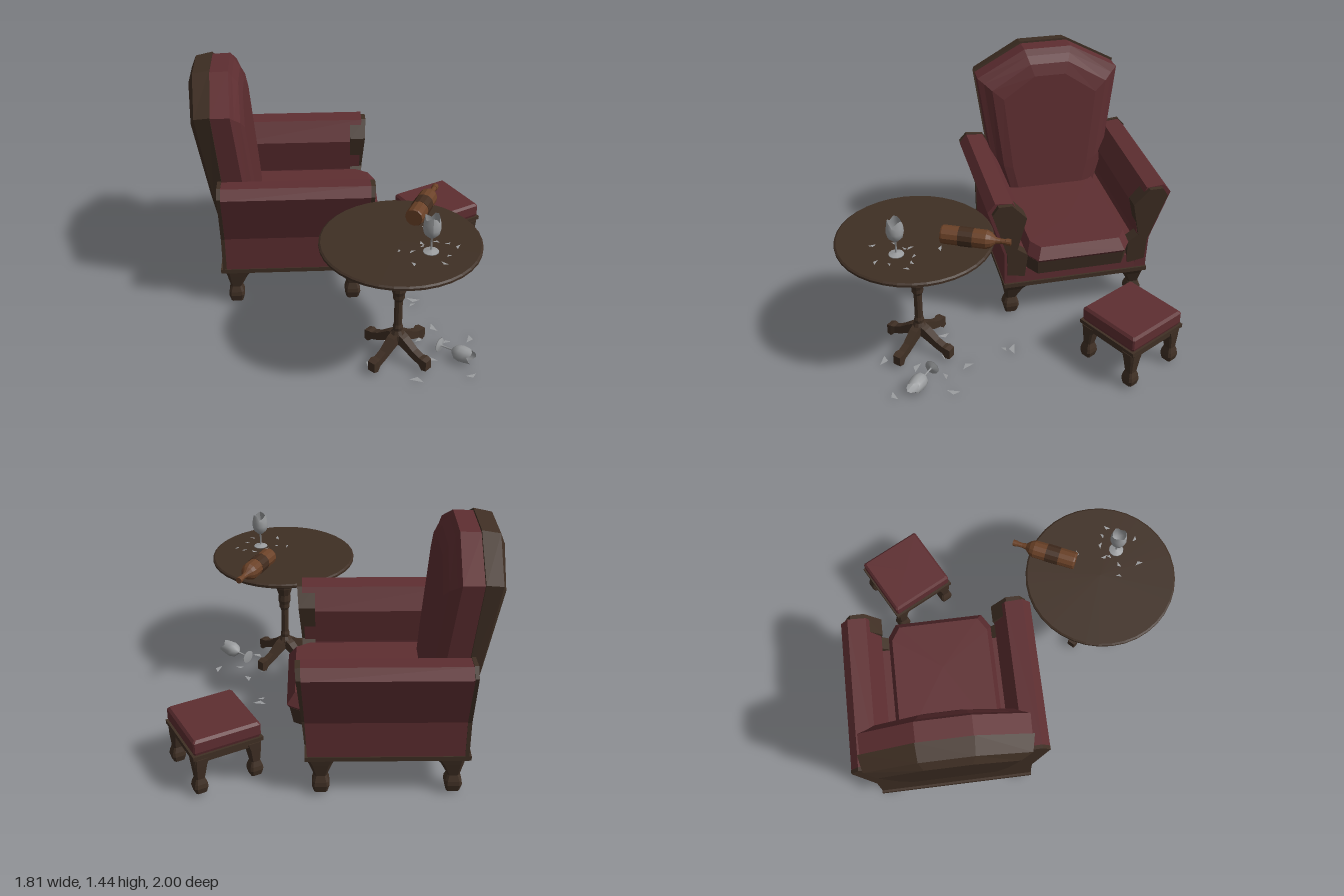
import * as THREE from 'three';

const mat = (name, color, side = THREE.FrontSide) => {
  const m = new THREE.MeshStandardMaterial({ color, side });
  m.name = name;
  return m;
};

// Flat facets: split vertices and recompute normals
const facet = (g) => {
  const f = g.index ? g.toNonIndexed() : g;
  f.computeVertexNormals();
  return f;
};

// Solid through rings of [x, y, z] points, capped at both ends
function loft(rings) {
  const pos = [];
  const n = rings[0].length;
  const tri = (a, b, c) => pos.push([a, b, c]);
  for (let r = 0; r < rings.length - 1; r++)
    for (let i = 0; i < n; i++) {
      const j = (i + 1) % n, A = rings[r], B = rings[r + 1];
      tri(A[i], A[j], B[j]);
      tri(A[i], B[j], B[i]);
    }
  const cap = (ring, flip) => {
    const c = [0, 1, 2].map((k) => ring.reduce((s, p) => s + p[k], 0) / n);
    for (let i = 0; i < n; i++) {
      const a = ring[i], b = ring[(i + 1) % n];
      flip ? tri(c, b, a) : tri(c, a, b);
    }
  };
  cap(rings[0], true);
  cap(rings[rings.length - 1], false);
  // turn the faces outward if the rings ran the other way round
  let vol = 0;
  for (const [a, b, c] of pos)
    vol += a[0] * (b[1] * c[2] - b[2] * c[1]) - a[1] * (b[0] * c[2] - b[2] * c[0]) + a[2] * (b[0] * c[1] - b[1] * c[0]);
  const flat = pos.flatMap(([a, b, c]) => (vol < 0 ? [...a, ...c, ...b] : [...a, ...b, ...c]));
  const g = new THREE.BufferGeometry();
  g.setAttribute('position', new THREE.Float32BufferAttribute(flat, 3));
  g.computeVertexNormals();
  return g;
}

// Extrude a [z, y] outline from x0 to x1; the front end leans by slant
function prism(pts, x0, x1, slant = 0) {
  const shape = new THREE.Shape(pts.map(([z, y]) => new THREE.Vector2(-z, y)));
  const g = new THREE.ExtrudeGeometry(shape, { depth: x1 - x0, bevelEnabled: false });
  g.rotateY(Math.PI / 2).translate(x0, 0, 0);
  const p = g.attributes.position;
  for (let i = 0; i < p.count; i++)
    if (p.getX(i) > (x0 + x1) / 2) p.setX(i, p.getX(i) + slant * (p.getY(i) - 0.85));
  return facet(g);
}

const boxAt = (x0, x1, y0, y1, hz) =>
  new THREE.BoxGeometry(x1 - x0, y1 - y0, hz * 2).translate((x0 + x1) / 2, (y0 + y1) / 2, 0);

// Square ring with cut corners
const ring = (x, y, z, h, cut = 0.3) => {
  const k = h * (1 - cut * 2 * 0.5);
  return [[h, k], [k, h], [-k, h], [-h, k], [-h, -k], [-k, -h], [k, -h], [h, -k]].map(([a, b]) => [x + a, y, z + b]);
};

const lathe = (pts, seg) => new THREE.LatheGeometry(pts.map(([r, y]) => new THREE.Vector2(r, y)), seg);

export function createModel() {
  const wood = mat('darkWood', 0x3f2f24);
  const red = mat('redUpholstery', 0x5e2e31);
  const brown = mat('bottleBrown', 0x6a4127);
  const label = mat('bottleLabel', 0x422c1e);
  const glass = mat('glass', 0x9a9c9e, THREE.DoubleSide);
  const root = new THREE.Group();
  const group = (name, x = 0, y = 0, z = 0) => {
    const g = new THREE.Group();
    g.name = name;
    g.position.set(x, y, z);
    root.add(g);
    return g;
  };
  const add = (parent, name, geo, m) => {
    const mesh = new THREE.Mesh(geo, m);
    mesh.name = name;
    parent.add(mesh);
    return mesh;
  };

  // Armchair, facing +x
  const chair = group('armchair', 0, 0, -0.445);
  add(chair, 'baseBoard', boxAt(-0.77, 0.12, 0.235, 0.262, 0.452), wood);
  add(chair, 'seatBody', boxAt(-0.74, 0.108, 0.262, 0.36, 0.44), red);
  add(chair, 'seatCore', boxAt(-0.74, 0.09, 0.36, 0.46, 0.37), red);
  const backHalf = [[0.45, 0.262], [0.455, 0.48], [0.555, 0.81], [0.51, 0.86], [0.405, 0.85], [0.33, 0.74]];
  const mirrored = backHalf.map(([z, y]) => [-z, y]).reverse();
  add(chair, 'backPanel', prism([...backHalf, ...mirrored], -0.757, -0.735), wood);
  for (const s of [1, -1]) {
    const side = s > 0 ? 'left' : 'right';
    const flip = (pts) => pts.map(([z, y]) => [z * s, y]);
    add(chair, side + 'Arm', prism(flip([[0.447, 0.262], [0.45, 0.48], [0.555, 0.8], [0.51, 0.855], [0.405, 0.845],
      [0.335, 0.72], [0.375, 0.5], [0.375, 0.262]]), -0.736, 0.137, 0.05), red);
    add(chair, side + 'ArmFront', prism(flip([[0.43, 0.33], [0.435, 0.48], [0.53, 0.79], [0.495, 0.845], [0.415, 0.845],
      [0.325, 0.745], [0.375, 0.52], [0.31, 0.47], [0.325, 0.31]]), 0.06, 0.165, 0.085), wood);
    // legs narrow toward a faceted foot
    for (const [x, dx] of [[-0.685, 0.022], [0.035, 0]])
      add(chair, side + 'ChairLeg', loft([ring(x, 0.015, s * 0.395, 0.036), ring(x, 0.06, s * 0.395, 0.048),
        ring(x, 0.085, s * 0.395, 0.045), ring(x, 0.12, s * 0.395, 0.032), ring(x + dx / 2, 0.2, s * 0.38, 0.062),
        ring(x + dx, 0.236, s * 0.365, 0.083)]), wood);
  }

  // Seat cushion and its wooden apron
  const plan = (y, front, hz, back = -0.6) =>
    [[back, -hz], [front - 0.08, -hz], [front, -hz + 0.05], [front, hz - 0.05], [front - 0.08, hz], [back, hz]].map(([x, z]) => [x, y, z]);
  add(chair, 'seatApron', loft([plan(0.335, 0.12, 0.31, 0), plan(0.36, 0.18, 0.31, 0), plan(0.46, 0.2, 0.315, 0)]), wood);
  add(chair, 'seatCushion', loft([plan(0.455, 0.2, 0.31), plan(0.475, 0.215, 0.315), plan(0.54, 0.17, 0.29)]), red);

  // Leaning backrest: outline shrunk by d, placed on a line x + k * (1.34 - y)
  const half = [[0.3, 0.47], [0.375, 0.72], [0.455, 1.28], [0.15, 1.44]];
  const outline = [...half, ...half.map(([z, y]) => [-z, y]).reverse()];
  const layer = (x, k, d) => outline.map(([z, y0]) => {
    const y = y0 - d * (y0 - 0.47) / 0.97;
    return [x + k * (1.34 - y), y, z * (1 - d / 0.455)];
  });
  add(chair, 'backrestFrame', loft([layer(-0.907, 0.155, 0.085), layer(-0.872, 0.13, 0.02), layer(-0.775, 0.08, 0)]), wood);
  add(chair, 'backrestCushion', loft([layer(-0.778, 0.08, 0.012), layer(-0.665, 0.1, 0.008), layer(-0.648, 0.1, 0.045),
    layer(-0.62, 0.1, 0.09), layer(-0.605, 0.1, 0.16)]), red);

  // Footstool
  const stool = group('footstool', 0.625, 0, -0.625);
  stool.rotation.y = 0.49;
  add(stool, 'stoolCushion', loft([ring(0, 0.262, 0, 0.19, 0.04), ring(0, 0.285, 0, 0.198, 0.04), ring(0, 0.345, 0, 0.198, 0.04),
    ring(0, 0.36, 0, 0.185, 0.04)]), red);
  add(stool, 'stoolRail', boxAt(-0.195, 0.195, 0.215, 0.25, 0.195), wood);
  add(stool, 'stoolRim', boxAt(-0.206, 0.206, 0.245, 0.268, 0.206), wood);
  for (const sx of [1, -1]) for (const sz of [1, -1]) {
    const at = (c, y, h) => ring(sx * c, y, sz * c, h);
    add(stool, 'stoolLeg', loft([at(0.165, 0.015, 0.032), at(0.165, 0.05, 0.04), at(0.165, 0.075, 0.036),
      at(0.165, 0.105, 0.026), at(0.16, 0.19, 0.038), at(0.152, 0.235, 0.048)]), wood);
  }

  // Pedestal table
  const table = group('roundTable', 0.26, 0, 0.55);
  add(table, 'tableTop', facet(lathe([[0, 0.752], [0.425, 0.752], [0.435, 0.762], [0.445, 0.765], [0.445, 0.778], [0.435, 0.785], [0, 0.785]], 36)), wood);
  add(table, 'tableColumn', facet(lathe([[0, 0.13], [0.04, 0.13], [0.042, 0.165], [0.028, 0.19], [0.03, 0.21], [0.024, 0.23], [0.024, 0.39],
    [0.034, 0.41], [0.034, 0.435], [0.042, 0.46], [0.038, 0.5], [0.053, 0.55], [0.053, 0.575], [0.038, 0.62], [0.042, 0.73],
    [0.095, 0.735], [0.095, 0.755], [0, 0.755]], 10)), wood);
  // four splayed feet: [distance, height, half width, half height]
  const footPath = [[0.0, 0.15, 0.026, 0.035], [0.06, 0.125, 0.026, 0.032], [0.13, 0.08, 0.022, 0.026],
    [0.175, 0.062, 0.022, 0.024], [0.2, 0.052, 0.028, 0.036], [0.228, 0.05, 0.024, 0.03]];
  for (let i = 0; i < 4; i++) {
    const foot = add(table, 'tableFoot', loft(footPath.map(([x, y, w, h]) =>
      [[w, h], [-w, h], [-w, -h], [w, -h]].map(([z, dy]) => [x, y + dy, z]))), wood);
    foot.rotation.y = Math.PI / 4 + i * Math.PI / 2;
  }

  // Bottle lying on the table
  const up = new THREE.Vector3(0, 1, 0);
  const bottle = group('bottle', 0.345, 0.839, 0.41);
  bottle.quaternion.setFromUnitVectors(up, new THREE.Vector3(0.165, 0, -0.35).normalize());
  add(bottle, 'bottleBody', facet(lathe([[0, 0], [0.049, 0], [0.053, 0.008], [0.053, 0.255], [0.042, 0.28], [0.019, 0.305], [0.015, 0.33],
    [0.015, 0.36], [0.019, 0.362], [0.019, 0.388], [0, 0.388]], 12)), brown);
  add(bottle, 'bottleBand', facet(lathe([[0.053, 0.1], [0.055, 0.1], [0.055, 0.18], [0.053, 0.18]], 12)), label);

  // Wine glasses with a broken rim
  const glassProfile = [[0, 0], [0.044, 0], [0.042, 0.004], [0.008, 0.01], [0.005, 0.02], [0.005, 0.085], [0.02, 0.093],
    [0.042, 0.115], [0.049, 0.145], [0.046, 0.18], [0.04, 0.222]];
  const chips = [0, 0.01, 0.035, 0.012, 0, 0.004, 0.03, 0.018, 0.002, 0, 0.022, 0.008];
  const wineGlass = (name) => {
    const g = lathe(glassProfile, 12);
    const p = g.attributes.position;
    for (let i = 0; i < p.count; i++)
      if (p.getY(i) > 0.22) p.setY(i, p.getY(i) - chips[Math.floor(i / glassProfile.length) % 12]);
    g.computeVertexNormals();
    const holder = group(name);
    add(holder, 'glassShell', g, glass);
    return holder;
  };
  wineGlass('standingGlass').position.set(0.41, 0.787, 0.67);
  const fallen = wineGlass('fallenGlass');
  fallen.position.set(0.51, 0.042, 0.52);
  fallen.quaternion.setFromUnitVectors(up, new THREE.Vector3(0.75, 0.04, 0.62).normalize());

  // Glass shards: [x, z, size]
  const shards = (name, y, list) => {
    const g = group(name, 0, y, 0);
    list.forEach(([x, z, s], i) => {
      const pts = [0, 1.7, 3.6].map((a, k) => {
        const t = a + i * 2.4, r = s * (k === 1 ? 0.55 : 1);
        return [x + Math.cos(t) * r, k * 0.002, z + Math.sin(t) * r];
      });
      const geo = new THREE.BufferGeometry();
      geo.setAttribute('position', new THREE.Float32BufferAttribute([pts[0], pts[2], pts[1]].flat(), 3));
      geo.computeVertexNormals();
      add(g, 'shard', geo, glass);
    });
  };
  shards('tableShards', 0.788, [[0.41, 0.43, 0.025], [0.31, 0.67, 0.02], [0.24, 0.66, 0.018], [0.37, 0.59, 0.022], [0.45, 0.58, 0.022],
    [0.51, 0.6, 0.02], [0.56, 0.635, 0.022], [0.305, 0.79, 0.025], [0.465, 0.79, 0.022], [0.5, 0.72, 0.018], [0.37, 0.62, 0.018]]);
  shards('floorShards', 0.004, [[0.41, 0.02, 0.045], [0.4, 0.07, 0.025], [0.7, 0.43, 0.04], [0.5, 0.31, 0.04], [0.35, 0.78, 0.045],
    [0.66, 0.76, 0.035], [0.1, 0.62, 0.045], [0.2, 0.4, 0.04], [0.45, 0.6, 0.04], [0.56, 0.45, 0.03], [0.4, 0.42, 0.035]]);
  return root;
}
